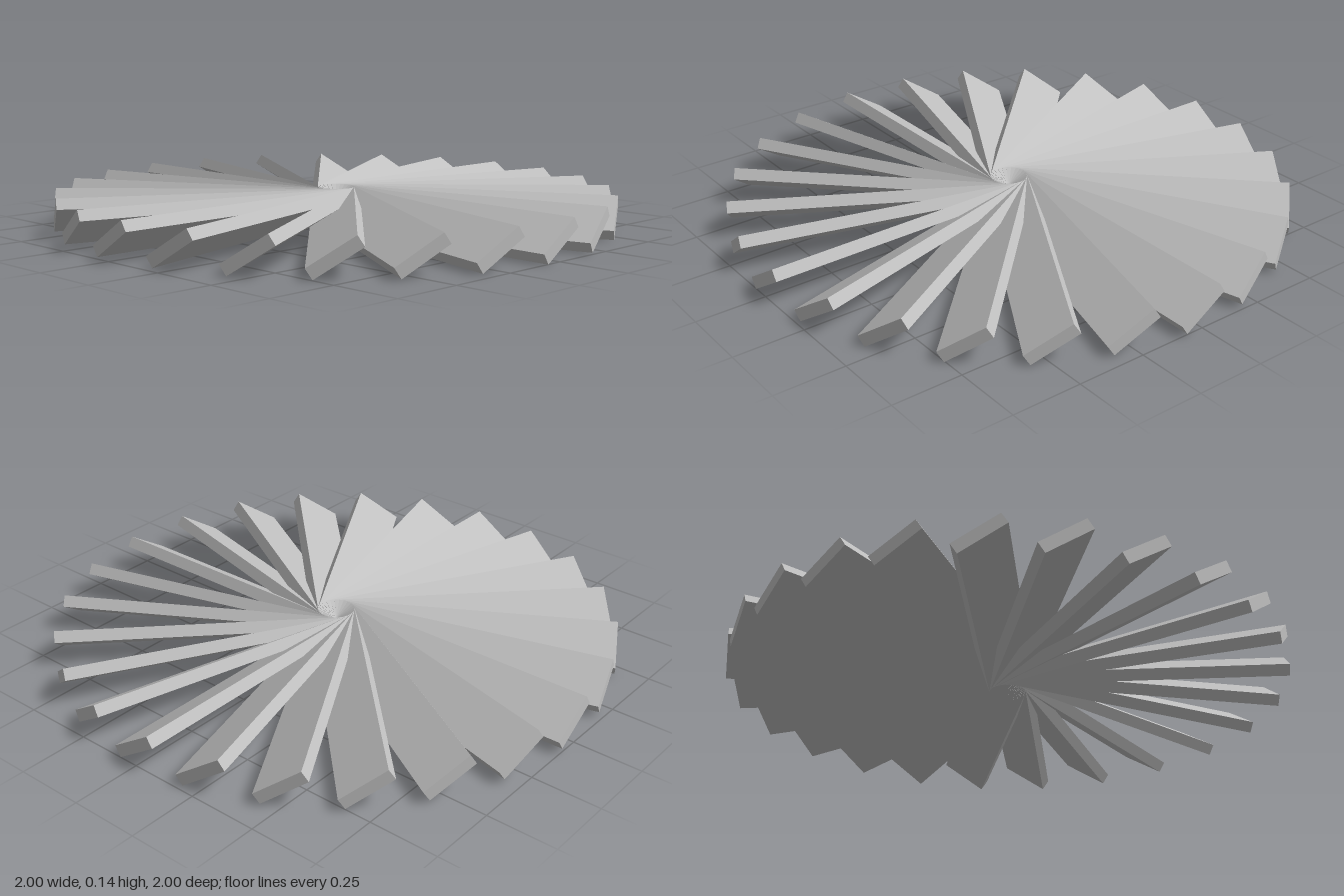
import * as THREE from 'three';

export function createModel() {
  const model = new THREE.Group();
  model.name = 'fanWheel';

  const grey = new THREE.MeshStandardMaterial({ color: 0xc0c0c0 });
  grey.name = 'plain grey';

  const count = 24;
  const pitch = THREE.MathUtils.degToRad(33);

  // One flat slat running from the axis to the rim, pitched about its length
  const slat = new THREE.BoxGeometry(1, 0.042, 0.183);
  slat.rotateX(pitch);
  slat.translate(0.5, 0, 0);

  // Ring of overlapping blades
  const ring = new THREE.Group();
  ring.name = 'bladeRing';
  for (let i = 0; i < count; i++) {
    const blade = new THREE.Mesh(slat, grey);
    blade.name = 'blade' + (i + 1);
    blade.rotation.y = (i / count) * Math.PI * 2;
    ring.add(blade);
  }

  // The wheel lies almost level, leaning a little to one side
  ring.rotation.z = -0.005;
  ring.position.set(0.002, 0.081, -0.003);
  model.add(ring);
  return model;
}
